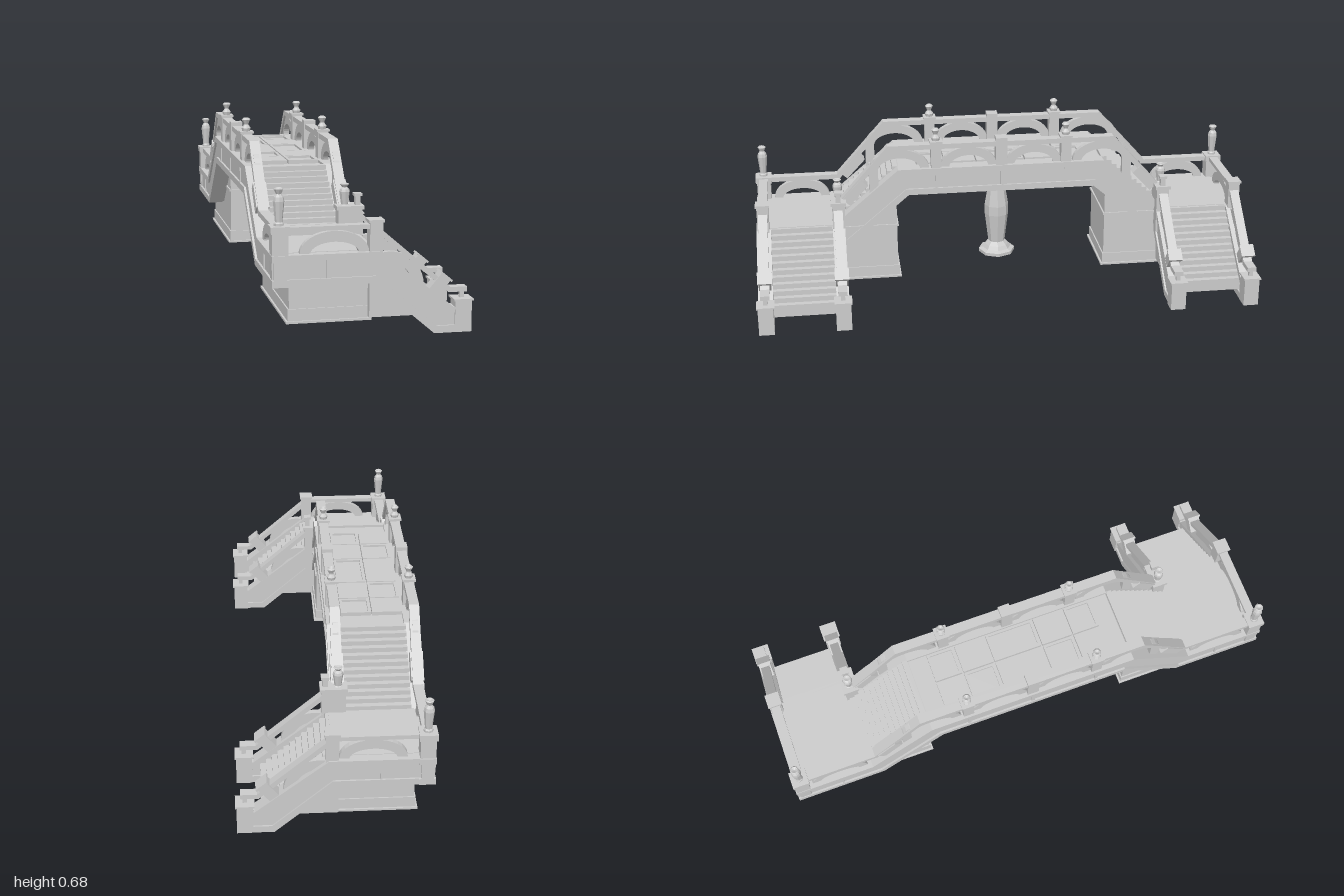
import * as THREE from 'three';

const stone = new THREE.MeshStandardMaterial({ color: 0xcccccc, flatShading: true, side: THREE.DoubleSide });

export function createModel() {
  const root = new THREE.Group();
  const add = (name, geo) => {
    const m = new THREE.Mesh(geo, stone);
    m.name = name;
    root.add(m);
    return m;
  };
  const box = (name, x0, x1, y0, y1, z0, z1) => {
    const m = add(name, new THREE.BoxGeometry(x1 - x0, y1 - y0, Math.abs(z1 - z0)));
    m.position.set((x0 + x1) / 2, (y0 + y1) / 2, (z0 + z1) / 2);
    return m;
  };
  const post = (name, x, z, w, y0, y1) => box(name, x - w / 2, x + w / 2, y0, y1, z - w / 2, z + w / 2);
  const extrude = (pts, depth) => new THREE.ExtrudeGeometry(
    new THREE.Shape(pts.map(p => new THREE.Vector2(p[0], p[1]))), { depth, bevelEnabled: false });
  // Profile in x,y pulled along z
  const alongZ = (name, pts, z0, z1) => add(name, extrude(pts, z1 - z0).translate(0, 0, z0));
  // Profile in z,y pulled along x
  const alongX = (name, pts, x0, x1) => add(name, extrude(pts, x1 - x0).rotateY(-Math.PI / 2).translate(x1, 0, 0));

  // Mitred offset of a left-to-right path, d measured downwards
  const offset = (path, d) => path.map((p, i) => {
    const a = path[Math.max(i - 1, 0)], b = path[Math.min(i + 1, path.length - 1)];
    const t1 = i ? Math.atan2(p[1] - a[1], p[0] - a[0]) : Math.atan2(b[1] - p[1], b[0] - p[0]);
    const t2 = i < path.length - 1 ? Math.atan2(b[1] - p[1], b[0] - p[0]) : t1;
    const t = (t1 + t2) / 2, k = d / Math.cos((t1 - t2) / 2);
    return [p[0] + Math.sin(t) * k, p[1] - Math.cos(t) * k];
  });
  const band = (path, d0, d1) => [...offset(path, d0), ...offset(path, d1).reverse()];
  // Half ring; angles in radians
  const arch = (c, y, ro, ho, ri, hi, a0 = 0, a1 = Math.PI) => {
    const arc = (r, h) => Array.from({ length: 17 }, (_, i) => {
      const a = a0 + (a1 - a0) * i / 16;
      return [c + r * Math.cos(a), y + h * Math.sin(a)];
    });
    return [...arc(ro, ho), ...arc(ri, hi).reverse()];
  };
  const turned = (name, pts, sides, x, y, z) => {
    const m = add(name, new THREE.LatheGeometry(pts.map(p => new THREE.Vector2(p[0], p[1])), sides));
    m.position.set(x, y, z);
  };
  const tallFinial = (x, z, h) => turned('tallFinial',
    [[0, 0], [.017, 0], [.017, .06], [.013, .1], [.02, .65], [.017, .76], [.009, .84], [.017, .97], [.013, 1], [0, .95]]
      .map(p => [p[0], p[1] * h]), 8, x, .40, z);
  const smallFinial = (x, y, z) => turned('smallFinial',
    [[0, 0], [.015, 0], [.018, .012], [.009, .024], [.009, .028], [.017, .044], [.011, .05], [0, .042]], 8, x, y, z);

  // Side beams of the span, with trims and ribs
  const path = e => [[-e, .30], [-.68, .30], [-.42, .52], [.42, .52], [.68, .30], [e, .30]];
  const railPath = e => [[-e, .395], [-.66, .395], [-.46, .62], [.46, .62], [.66, .395], [e, .395]];
  for (const [x0, x1, end, railEnd] of [[-.355, -.295, 1, .96], [-.055, 0, .69, .68]]) {
    const c = (x0 + x1) / 2;
    alongX('sideBeam', band(path(end), .01, .1), x0 + .008, x1 - .008);
    alongX('beamTopTrim', band(path(end), 0, .024), x0, x1);
    alongX('beamBottomTrim', band(path(end), .085, .11), x0, x1);
    for (const z of [-.265, 0, .265]) box('beamRib', x0 + .003, x1 - .003, .43, .5, z - .006, z + .006);
    // Balustrade
    alongX('spanRail', band(railPath(railEnd), 0, .02), c - .019, c + .019);
    for (const s of [-1, 1]) {
      alongX('spanArch', arch(s * .133, .515, .115, .085, .08, .05), c - .011, c + .011);
      const end = arch(.415, .515, .122, .085, .085, .05);
      end.splice(17 + 17, 0, [.50, .43], [.537, .40]);
      alongX('slopeArch', end.map(p => [p[0] * s, p[1]]), c - .011, c + .011);
      post('spanPost', c, s * .265, .042, .50, .626);
      post('spanPostCap', c, s * .265, .052, .624, .632);
      smallFinial(c, .632, s * .265);
      // Leaning post on the slope
      const lean = box('slopePost', c - .024, c + .024, -.055, .055, -.02, .02);
      lean.position.set(c, .43, s * .595);
      lean.rotation.x = s * .82 - Math.PI / 2 * s;
    }
    post('centrePost', c, 0, .046, .50, .635);
  }

  // Deck and tiles
  alongX('deckSlab', band(path(.96), .01, .105), -.30, -.05);
  const rows = [-.345, -.23, -.1, .1, .23, .345];
  for (let r = 0; r < 5; r++) for (let c = 0; c < 2; c++) {
    const x0 = c ? -.175 : -.295, x1 = x0 + .115, z0 = rows[r] + .003, z1 = rows[r + 1] - .003;
    const raised = (r + c) % 2 === 0;
    box('deckTile', x0, x1, .50, raised ? .525 : .517, z0, z1);
    if (!raised) for (const [a, b, d, e] of [[x0, x0 + .01, z0, z1], [x1 - .01, x1, z0, z1],
      [x0, x1, z0, z0 + .01], [x0, x1, z1 - .01, z1]]) box('tileFrame', a, b, .505, .525, d, e);
  }

  // Central column
  turned('centralColumn', [[0, .065], [.076, .065], [.076, .078], [.06, .085], [.05, .1], [.035, .115], [.05, .24],
    [.05, .28], [.036, .365], [.045, .385], [.08, .4], [.085, .415], [0, .415]], 8, -.175, 0, 0);

  // Stepped block descending in u from the given top
  const steps = (n, u0, u1, y0, y1, drop) => {
    const pts = [[u0, y0 - drop], [u0, y0]], du = (u1 - u0) / n, dy = (y1 - y0) / n;
    for (let i = 1; i <= n; i++) pts.push([u0 + du * i, y0 + dy * (i - 1)], [u0 + du * i, y0 + dy * i]);
    pts.push([u1, y1 - Math.min(drop, .03)]);
    return pts;
  };

  for (const s of [-1, 1]) {
    const zr = (a, b) => s > 0 ? [a, b] : [-b, -a];
    // Upper flight and landing
    alongX('upperSteps', steps(12, .42, .68, .518, .30, .06).map(p => [p[0] * s, p[1]]), -.30, -.05);
    box('landingFloor', -.31, .01, .26, .302, s * .64, s * .96);
    // Hollow pier
    const wall = [[.43, .055], [.945, .055], [.945, .22], [.64, .22], [.43, .39]].map(p => [p[0] * s, p[1]]);
    alongX('pierSideWall', wall, -.287, -.27);
    alongX('pierSideWall', wall, -.025, -.008);
    box('pierInnerWall', -.28, -.012, .055, .39, s * .43, s * .445);
    box('pierOuterWall', -.28, -.012, .055, .22, s * .93, s * .945);
    for (const [y0, y1, g, t] of [[.05, .058, .012, .03], [.058, .10, .005, .02], [.275, .284, .006, .02]]) {
      const [a, b, c, d] = [-.287 - g, -.008 + g, .43 - g, .945 + g];
      box('pierBand', a, a + t, y0, y1, s * c, s * d);
      box('pierBand', b - t, b, y0, y1, s * c, s * d);
      box('pierBand', a, b, y0, y1, s * c, s * (c + t));
      box('pierBand', a, b, y0, y1, s * (d - t), s * d);
    }
    // Lower flight
    alongZ('lowerSteps', steps(12, 0, .265, .30, .06, .10), ...zr(.68, .945));
    // Stringers, rails and newels on both sides of the lower flight
    for (const [zc, w, x0] of [[.967, .058, -.355], [.667, .05, -.05]]) {
      const side = (name, pts, h) => alongZ(name, pts, s * zc - h, s * zc + h);
      const top = [[x0, .30], [.025, .30], [.29, .09], [.31, .09]];
      side('stringer', [...offset(top, .01), [.31, .003], [.222, .003], [.002, .193], [x0 + .004, .193]], w / 2 - .007);
      side('stringerTopTrim', band(top, 0, .02), w / 2);
      side('stringerBottomTrim', [[x0, .215], [.01, .215], [.228, .026], [.31, .026], [.31, 0], [.22, 0], [0, .19], [x0, .19]], w / 2);
      side('stairArch', arch(.06, .17, .125, .125, .085, .085, 0, 1.75), .011);
      side('stairRail', band([[.02, .385], [.28, .16], [.34, .16]], 0, .018), .018);
      side('underStairWall', [[-.01, .065], [.145, .065], [0, .195], [-.01, .195]], .012);
      const lean = box('stairLeaningPost', -.021, .021, -.045, .045, -.024, .024);
      lean.position.set(.235, .167, s * zc);
      lean.rotation.z = -.7;
      const cap = box('stairLeaningCap', -.026, .026, -.004, .004, -.028, .028);
      cap.position.set(.263, .2, s * zc);
      cap.rotation.z = -.7;
      post('newel', .325, s * zc, .06, 0, .114);
      post('newelCap', .325, s * zc, .07, .112, .119);
      post('newelStub', .325, s * zc, .016, .115, .15);
    }
    // Landing end: rail, arch, ribs and posts
    const ze = s * .967;
    box('landingRail', -.30, .01, .379, .395, ze - .018, ze + .018);
    alongZ('landingArch', arch(-.133, .298, .122, .078, .085, .04), ze - .011, ze + .011);
    alongX('landingSideArch', arch(s * .81, .298, .115, .078, .08, .04), -.336, -.314);
    box('landingRib', -.165, -.157, .21, .285, ze - .026, ze + .026);
    box('landingSideRib', -.352, -.30, .21, .285, s * .806, s * .814);
    post('cornerPost', -.325, ze, .056, .29, .38);
    post('cornerPostCap', -.325, ze, .066, .375, .40);
    tallFinial(-.325, ze, .13);
    post('stairHeadPost', .012, ze, .046, .29, .405);
    post('stairHeadCap', .012, ze, .056, .402, .411);
    // Inner newel block with its two finials
    box('innerNewel', -.056, .034, .20, .395, s * .64, s * .69);
    box('innerNewelCap', -.062, .04, .392, .405, s * .634, s * .696);
    tallFinial(-.028, s * .665, .085);
    post('shortFinialStem', .02, s * .665, .02, .40, .44);
    post('shortFinialTop', .02, s * .665, .03, .438, .448);
  }
  return root;
}
